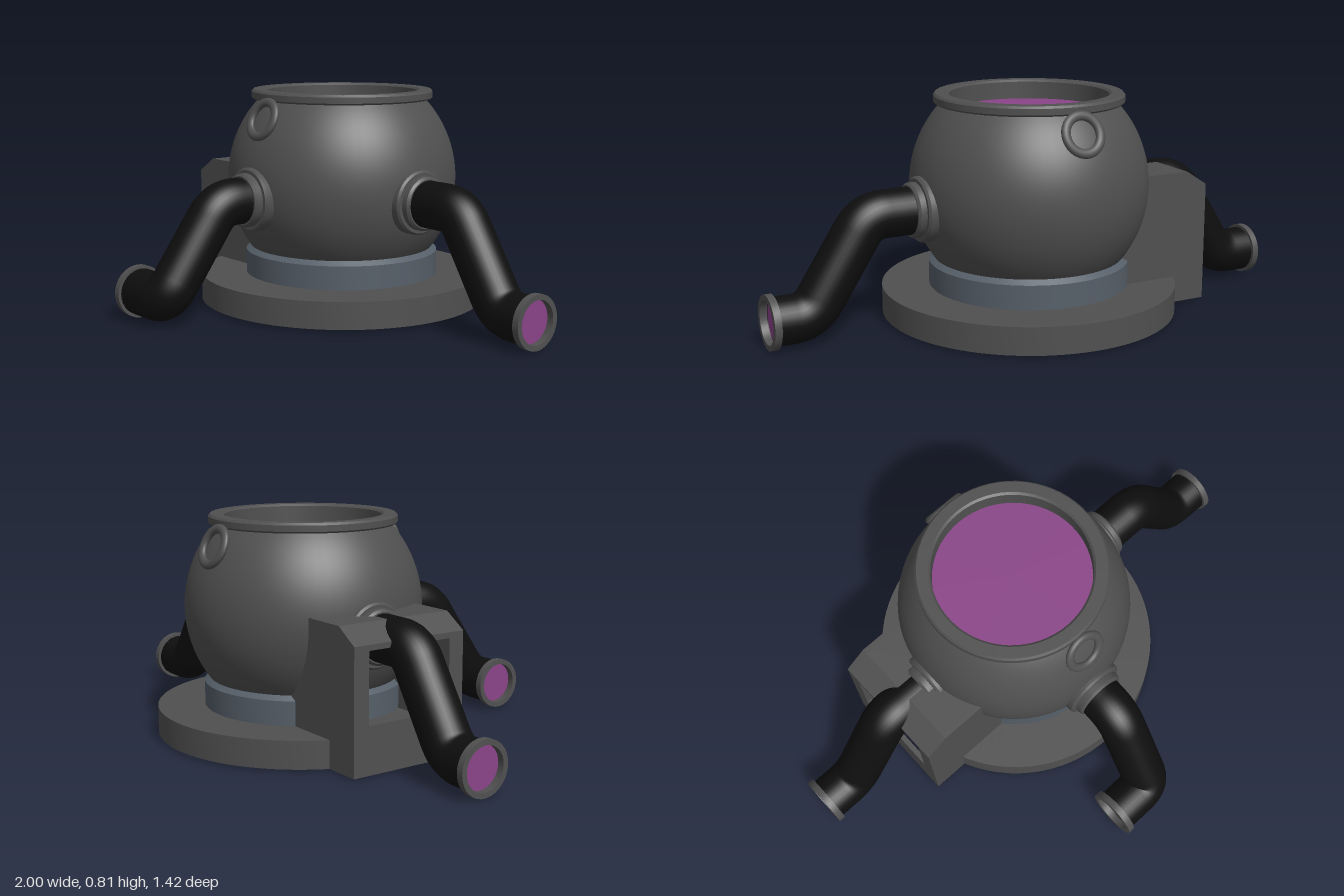
import * as THREE from 'three';
import { toCreasedNormals } from 'three/addons/utils/BufferGeometryUtils.js';

const material = (color) => new THREE.MeshStandardMaterial({ color, side: THREE.DoubleSide });
const iron = material(0x505050);
const hose = material(0x0e0e0e);
const steel = material(0x565f69);
const liquid = material(0x8a4488);

const v = (x, y, z = 0) => new THREE.Vector3(x, y, z);
const PIPE = 0.085;

function add(parent, name, geometry, mat) {
  const mesh = new THREE.Mesh(geometry, mat);
  mesh.name = name;
  parent.add(mesh);
  return mesh;
}

// Revolved profile with crisp edges
function lathe(points, segments = 64) {
  const g = new THREE.LatheGeometry(points.map(([r, y]) => new THREE.Vector2(r, y)), segments);
  return toCreasedNormals(g, 0.5);
}

function shapeOf(points) {
  return new THREE.Shape(points.map(([x, y]) => new THREE.Vector2(x, y)));
}

function extrude(shape, depth) {
  return new THREE.ExtrudeGeometry(shape, { depth, bevelEnabled: false });
}

// Straight runs joined by rounded elbows
function elbowPath(points, round) {
  const path = new THREE.CurvePath();
  let from = points[0];
  for (let i = 1; i < points.length - 1; i++) {
    const p = points[i];
    const before = p.clone().add(points[i - 1].clone().sub(p).setLength(round));
    const after = p.clone().add(points[i + 1].clone().sub(p).setLength(round));
    path.add(new THREE.LineCurve3(from, before));
    path.add(new THREE.QuadraticBezierCurve3(before, p, after));
    from = after;
  }
  path.add(new THREE.LineCurve3(from, points[points.length - 1]));
  return path;
}

// A pipe leaving the pot along +x, with flanges and liquid at both ends
function makeArm(name, points) {
  const arm = new THREE.Group();
  arm.name = name;
  add(arm, 'pipe', new THREE.TubeGeometry(elbowPath(points, 0.065), 96, PIPE, 32), hose);

  const wallFlange = add(arm, 'wallFlange', lathe([
    [0.08, 0.385], [0.117, 0.385], [0.117, 0.44], [0.11, 0.448], [0.098, 0.448],
    [0.098, 0.47], [0.09, 0.478], [0.08, 0.478],
  ], 40), iron);
  wallFlange.rotation.z = -Math.PI / 2;
  wallFlange.position.y = points[0].y;

  const n = points.length;
  const ends = [[points[0], points[1], 'inner'], [points[n - 1], points[n - 2], 'outer']];
  for (const [end, next, label] of ends) {
    const out = end.clone().sub(next).normalize();
    const cap = new THREE.Group();
    cap.name = label + 'End';
    cap.position.copy(end);
    cap.quaternion.setFromUnitVectors(v(0, 1), out);
    arm.add(cap);
    add(cap, label + 'Flange', lathe([
      [0.077, -0.025], [0.096, -0.025], [0.096, 0], [0.077, 0], [0.077, -0.025],
    ], 40), iron);
    const disc = add(cap, label + 'Liquid', new THREE.CircleGeometry(PIPE, 40), liquid);
    disc.rotation.x = -Math.PI / 2;
    disc.position.y = -0.03;
  }
  return arm;
}

// Hollow housing around the right-hand pipe, open below and inward
function makeHousing() {
  const housing = new THREE.Group();
  housing.name = 'pipeHousing';
  const half = 0.23, wall = 0.02;
  const side = extrude(shapeOf([
    [-0.625, 0.01], [-0.2, 0.01], [-0.2, 0.505], [-0.54, 0.505], [-0.625, 0.45],
  ]), wall);
  add(housing, 'housingFrontWall', side, iron).position.z = half - wall;
  add(housing, 'housingBackWall', side, iron).position.z = -half;

  const roof = extrude(shapeOf([
    [-0.625, 0.45], [-0.61, 0.437], [-0.535, 0.487], [-0.2, 0.487], [-0.2, 0.505], [-0.54, 0.505],
  ]), half * 2);
  add(housing, 'housingRoof', roof, iron).position.z = -half;

  // Outer wall with its window
  const face = shapeOf([[-half, 0.01], [half, 0.01], [half, 0.45], [-half, 0.45]]);
  face.holes.push(shapeOf([[-0.17, 0.18], [-0.17, 0.43], [0.17, 0.43], [0.17, 0.18]]));
  const outer = add(housing, 'housingOuterWall', extrude(face, wall), iron);
  outer.rotation.y = Math.PI / 2;
  outer.position.x = -0.625;
  return housing;
}

export function createModel() {
  const model = new THREE.Group();
  model.name = 'cauldron';
  const body = new THREE.Group();
  body.name = 'cauldronBody';
  body.position.z = -0.173;
  model.add(body);

  // Base plate skirt and collar
  add(body, 'base', lathe([[0.54, 0.01], [0.54, 0.11], [0.345, 0.11]], 80), iron);
  add(body, 'collar', lathe([
    [0.345, 0.11], [0.367, 0.11], [0.367, 0.198], [0.345, 0.216], [0.33, 0.216],
  ]), steel);

  // Round pot, open at the bottom
  const profile = [];
  for (let i = 0; i <= 28; i++) {
    const a = THREE.MathUtils.lerp(-0.66, 0.765, i / 28);
    profile.push(new THREE.Vector2(0.435 * Math.cos(a), 0.475 + 0.435 * Math.sin(a)));
  }
  add(body, 'pot', new THREE.LatheGeometry(profile, 64), iron);

  // Rim, neck lining and contents
  add(body, 'rim', lathe([
    [0.287, 0.72], [0.31, 0.775], [0.338, 0.775], [0.344, 0.781], [0.344, 0.803],
    [0.337, 0.811], [0.295, 0.811], [0.287, 0.804], [0.287, 0.72],
  ]), iron);
  const contents = add(body, 'contents', new THREE.CircleGeometry(0.29, 64), liquid);
  contents.rotation.x = -Math.PI / 2;
  contents.position.y = 0.74;

  // Lifting rings at front and back
  for (const s of [1, -1]) {
    const ring = add(body, s > 0 ? 'frontRing' : 'backRing', new THREE.TorusGeometry(0.066, 0.017, 16, 40), iron);
    ring.scale.z = 0.75;
    ring.position.set(0, 0.715, s * 0.376);
    ring.rotation.x = -s * 0.4;
  }

  // Side pipes and the front pipe, which turns sideways at its foot
  const sidePath = [v(0.35, 0.426), v(0.635, 0.426), v(0.845, 0.1), v(1, 0.1)];
  const frontPath = [v(0.35, 0.426), v(0.57, 0.426, 0.005), v(0.785, 0.1, 0.025), v(0.785, 0.1, 0.215)];
  body.add(makeArm('leftArm', sidePath));
  const rightArm = makeArm('rightArm', sidePath);
  rightArm.rotation.y = Math.PI;
  body.add(rightArm);
  const frontArm = makeArm('frontArm', frontPath);
  frontArm.rotation.y = -Math.PI / 2;
  body.add(frontArm);

  body.add(makeHousing());
  return model;
}
